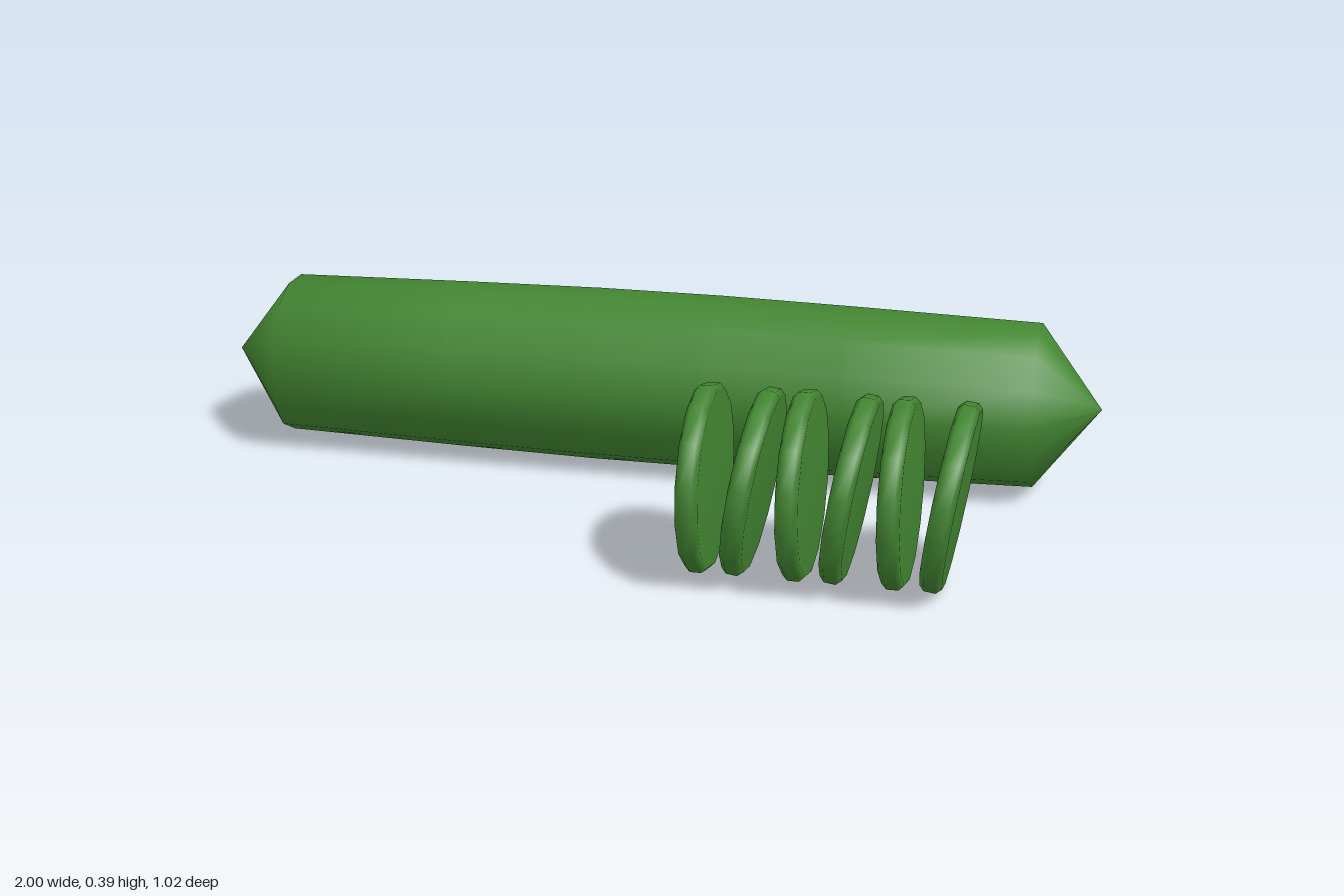
import * as THREE from 'three';

const SIDES = 14;

// Turned solid lying along the x axis; profile is [radius, position along x]
function turned(profile, phiStart) {
  const points = profile.map(([r, a]) => new THREE.Vector2(r, a));
  return new THREE.LatheGeometry(points, SIDES, phiStart, Math.PI * 2).rotateZ(-Math.PI / 2);
}

export function createModel() {
  const model = new THREE.Group();
  model.name = 'cucumberWithSlices';
  const skin = new THREE.MeshStandardMaterial({ color: 0x438632 });
  skin.name = 'cucumber green';

  // Whole cucumber: gently bulging body with pointed ends
  const half = [[0, -1], [0.181, -0.86], [0.19, -0.45], [0.195, -0.14]];
  const mirrored = half.map(([r, a]) => [r, -a]).reverse();
  const cucumber = new THREE.Mesh(turned([...half, ...mirrored], 0), skin);
  cucumber.name = 'cucumber';
  cucumber.position.set(0, 0.198, -0.32);
  model.add(cucumber);

  // Row of slices, every second one leaning
  const h = 0.023;
  const sliceGeometry = turned(
    [[0, -h], [0.184, -h], [0.195, -0.012], [0.195, 0.012], [0.184, h], [0, h]],
    Math.PI / 2
  );
  const slices = new THREE.Group();
  slices.name = 'slices';
  for (let i = 0; i < 6; i++) {
    const slice = new THREE.Mesh(sliceGeometry, skin);
    slice.name = `slice${i + 1}`;
    slice.position.set(0.25 + i * 0.1, 0.199, 0.318);
    slice.rotation.z = i % 2 ? -0.15 : 0;
    slices.add(slice);
  }
  model.add(slices);
  return model;
}
